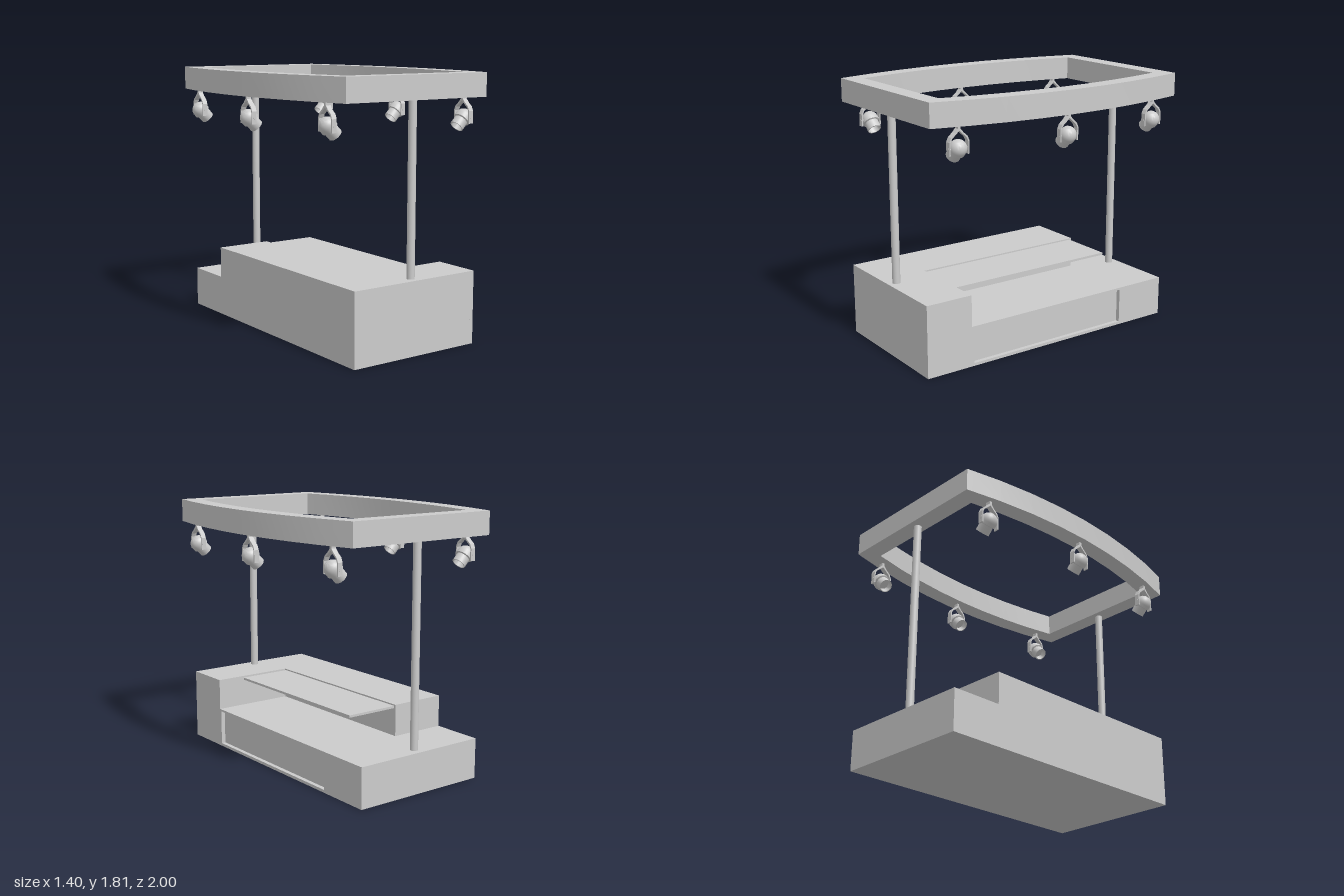
import * as THREE from 'three';
import { toCreasedNormals } from 'three/addons/utils/BufferGeometryUtils.js';

const grey = new THREE.MeshStandardMaterial({ color: 0xcccccc });
const greyThin = new THREE.MeshStandardMaterial({ color: 0xcccccc, side: THREE.DoubleSide });
const vecs = (pts) => pts.map(([x, y]) => new THREE.Vector2(x, y));

function add(parent, name, geometry, x = 0, y = 0, z = 0, material = grey) {
  const mesh = new THREE.Mesh(geometry, material);
  mesh.name = name;
  mesh.position.set(x, y, z);
  parent.add(mesh);
  return mesh;
}

function extrude(points, depth, hole) {
  const shape = new THREE.Shape(vecs(points));
  if (hole) shape.holes.push(new THREE.Path(vecs(hole)));
  return new THREE.ExtrudeGeometry(shape, { depth, bevelEnabled: false });
}

// Outline with straight ends and bowed sides, listed counter-clockwise
function bowedOutline(endX, midX, endZ, segments = 8) {
  const side = [];
  for (let i = 0; i <= segments; i++) {
    const t = -1 + (2 * i) / segments;
    side.push([midX - (midX - endX) * t * t, endZ * t]);
  }
  return [...side, ...side.map(([x, z]) => [-x, -z])];
}

// Forked bracket, hung from its top and spread along z
function forkGeometry() {
  const outer = [[0.009, 0], [0.009, -0.02], [0.03, -0.045], [0.06, -0.07], [0.073, -0.1], [0.073, -0.185]];
  const inner = [[0.064, -0.185], [0.064, -0.103], [0.052, -0.078], [0.022, -0.053], [0, -0.033]];
  const right = [...outer, ...inner];
  const left = right.slice(0, -1).reverse().map(([x, y]) => [-x, y]);
  const geo = extrude([...right, ...left].reverse(), 0.036);
  geo.translate(0, 0, -0.018);
  geo.rotateY(Math.PI / 2);
  return geo;
}

// Lamp housing: hollow barrel, wider collar and domed back
function lampGeometry() {
  const profile = [[0, -0.045], [0.036, -0.045], [0.041, -0.085], [0.047, -0.085], [0.047, -0.028], [0.058, -0.024]];
  for (let i = 0; i <= 8; i++) {
    const a = (i / 8) * Math.PI / 2;
    profile.push([0.058 * Math.cos(a), 0.058 * Math.sin(a)]);
  }
  return toCreasedNormals(new THREE.LatheGeometry(vecs(profile), 24), 0.6);
}

export function createModel() {
  const model = new THREE.Group();
  model.name = 'displayCounter';

  // Counter: low base, raised L-shaped top and side wall with a recessed panel
  const counter = new THREE.Group();
  counter.name = 'counter';
  model.add(counter);
  add(counter, 'base', new THREE.BoxGeometry(0.96, 0.28, 2), -0.02, 0.14, 0);
  const raised = extrude([[-0.5, -1], [0.46, -1], [0.46, -0.66], [-0.1, -0.66], [-0.1, 0.635], [-0.5, 0.635]], 0.22);
  raised.rotateX(-Math.PI / 2);
  add(counter, 'raisedTop', raised, 0, 0.28, 0);
  const wall = extrude(
    [[-1, 0], [1, 0], [1, 0.28], [-0.66, 0.28], [-0.66, 0.5], [-1, 0.5]], 0.03,
    [[-0.645, 0.02], [-0.645, 0.265], [0.615, 0.265], [0.615, 0.02]]);
  wall.rotateY(Math.PI / 2);
  add(counter, 'recessedSideWall', wall, 0.46, 0, 0);

  // Thin shelf reaching out over the low ledge
  add(counter, 'shelf', new THREE.BoxGeometry(0.385, 0.016, 1.27), 0.0925, 0.482, 0.015);

  // Posts
  for (const [name, z, foot] of [['frontPost', 0.937, 0.5], ['backPost', -0.933, 0.28]]) {
    const height = 1.66 - foot;
    add(model, name, new THREE.CylinderGeometry(0.027, 0.027, height, 24), -0.003, foot + height / 2, z);
  }

  // Overhead ring
  const ring = extrude(bowedOutline(0.57, 0.7, 1), 0.16, bowedOutline(0.475, 0.576, 0.875));
  ring.rotateX(-Math.PI / 2);
  add(model, 'canopyRing', toCreasedNormals(ring, 0.4), 0, 1.65, 0);

  // Spotlights, three along each side and aimed inward
  const fork = forkGeometry();
  const housing = lampGeometry();
  const pivot = new THREE.CylinderGeometry(0.01, 0.01, 0.15, 12);
  pivot.rotateX(Math.PI / 2);
  for (const side of [-1, 1]) {
    for (const z of [-0.795, 0, 0.795]) {
      const spot = new THREE.Group();
      spot.name = 'spotlight';
      spot.position.set(side * (z === 0 ? 0.635 : 0.56), 1.65, z);
      add(spot, 'bracket', fork);
      add(spot, 'pivot', pivot, 0, -0.145, 0);
      add(spot, 'lampHousing', housing, 0, -0.145, 0, greyThin).rotation.z = -side * Math.PI / 4;
      model.add(spot);
    }
  }
  return model;
}
